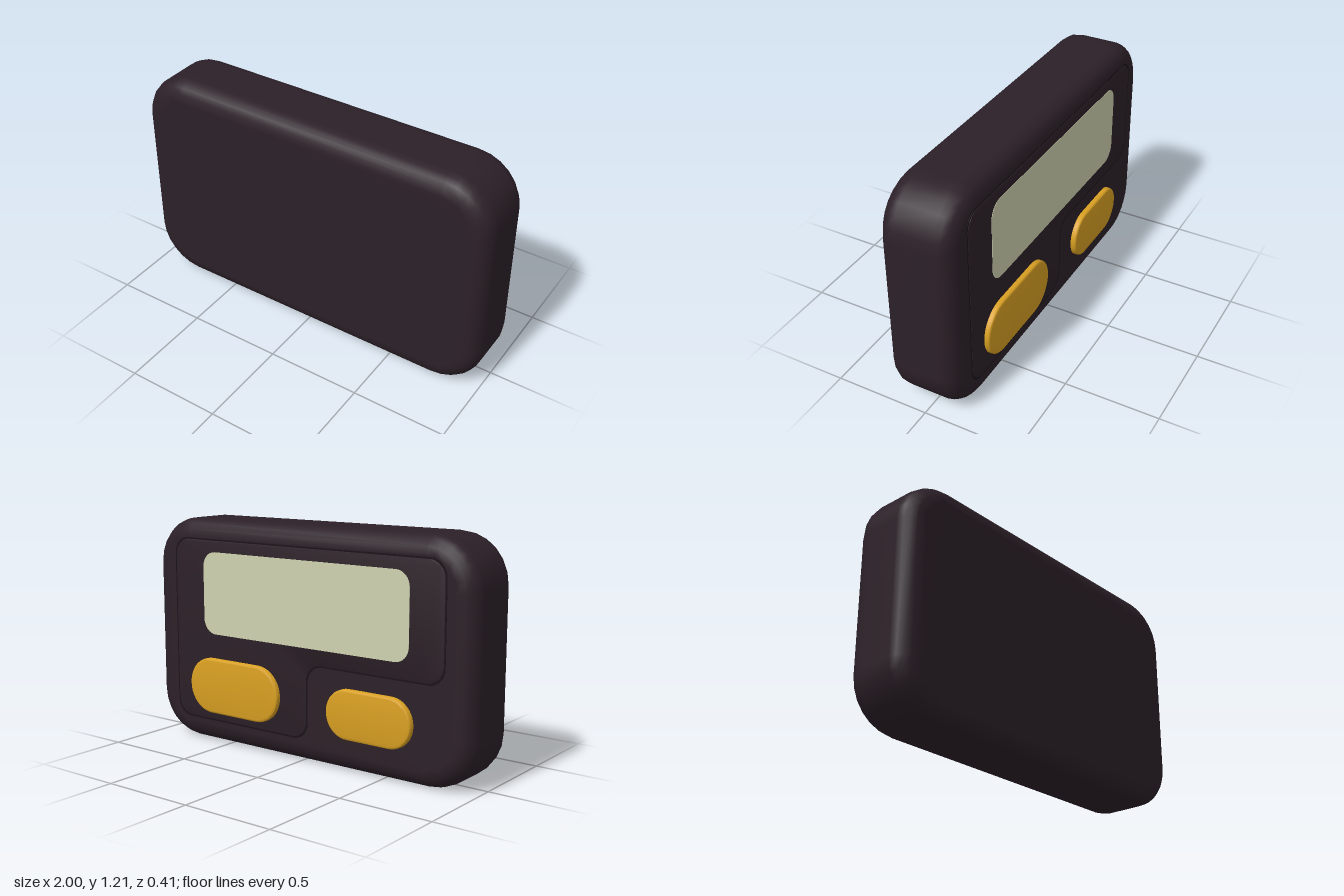
import * as THREE from 'three';
import { mergeVertices, toCreasedNormals } from 'three/addons/utils/BufferGeometryUtils.js';

// Outline with every right-angled corner rounded to radius r
function roundedOutline(points, r) {
  const shape = new THREE.Shape();
  const k = 0.4477; // circular bezier handle, measured from the corner
  const pts = points.map(([x, y]) => new THREE.Vector2(x, y));
  pts.forEach((p, i) => {
    const prev = pts[(i + pts.length - 1) % pts.length];
    const next = pts[(i + 1) % pts.length];
    const inDir = prev.clone().sub(p).normalize();
    const outDir = next.clone().sub(p).normalize();
    const at = (dir, d) => p.clone().addScaledVector(dir, d);
    const a = at(inDir, r), b = at(inDir, r * k), c = at(outDir, r * k), d = at(outDir, r);
    if (i === 0) shape.moveTo(a.x, a.y);
    else shape.lineTo(a.x, a.y);
    shape.bezierCurveTo(b.x, b.y, c.x, c.y, d.x, d.y);
  });
  shape.closePath();
  return shape;
}

const rect = (x0, x1, y0, y1) => [[x0, y0], [x1, y0], [x1, y1], [x0, y1]];

// Slab between two depths with a rounded bevel that stays inside the outline
function slab(shape, zBack, zFront, bevel, segments, curveSegments) {
  const geo = new THREE.ExtrudeGeometry(shape, {
    depth: zFront - zBack - 2 * bevel,
    bevelEnabled: bevel > 0,
    bevelThickness: bevel,
    bevelSize: bevel,
    bevelOffset: -bevel,
    bevelSegments: segments,
    curveSegments,
  });
  geo.translate(0, 0, zBack + bevel);
  return geo;
}

// Weld and smooth with area weighting, so large faces stay flat
function smooth(geo) {
  geo.deleteAttribute('normal');
  geo.deleteAttribute('uv');
  const welded = mergeVertices(geo, 1e-4);
  welded.computeVertexNormals();
  return welded;
}

export function createModel() {
  const group = new THREE.Group();
  const material = (color) => new THREE.MeshStandardMaterial({ color });
  const dark = material(0x2c2028);
  const groove = material(0x1a1218);
  const amber = material(0xd9a022);
  const glass = material(0xcfd2af);

  const add = (name, geo, mat) => {
    const mesh = new THREE.Mesh(geo, mat);
    mesh.name = name;
    group.add(mesh);
  };

  // Case: thick rounded block
  const back = -0.175;
  const caseOutline = roundedOutline(rect(-1, 1, 0, 1.21), 0.25);
  add('case', smooth(slab(caseOutline, back, 0.205, 0.09, 4, 6)), dark);

  // L-shaped panel on the back, stepping around the small button, with a thin seam
  const panelPoints = (g) => [
    [-0.85 - g, 0.52 - g], [-0.05 - g, 0.52 - g], [-0.05 - g, 0.13 - g],
    [0.84 + g, 0.13 - g], [0.84 + g, 1.1 + g], [-0.85 - g, 1.1 + g],
  ];
  add('panelSeam', slab(roundedOutline(panelPoints(0.008), 0.09), back - 0.001, back + 0.02, 0, 1, 8), groove);
  add('panel', toCreasedNormals(slab(roundedOutline(panelPoints(0), 0.09), back - 0.003, back + 0.02, 0.002, 2, 8), 0.6), dark);

  // Display window
  add('display', slab(roundedOutline(rect(-0.66, 0.64, 0.6, 1.04), 0.08), back - 0.005, back + 0.02, 0, 1, 8), glass);

  // Pill-shaped buttons
  const buttons = [
    ['largeButton', 0.12, 0.73, 0.17, 0.47],
    ['smallButton', -0.69, -0.19, 0.175, 0.43],
  ];
  for (const [name, x0, x1, y0, y1] of buttons) {
    const outline = roundedOutline(rect(x0, x1, y0, y1), (y1 - y0) / 2 - 0.002);
    add(name, toCreasedNormals(slab(outline, -0.205, back + 0.03, 0.012, 3, 10), 0.6), amber);
  }

  return group;
}
